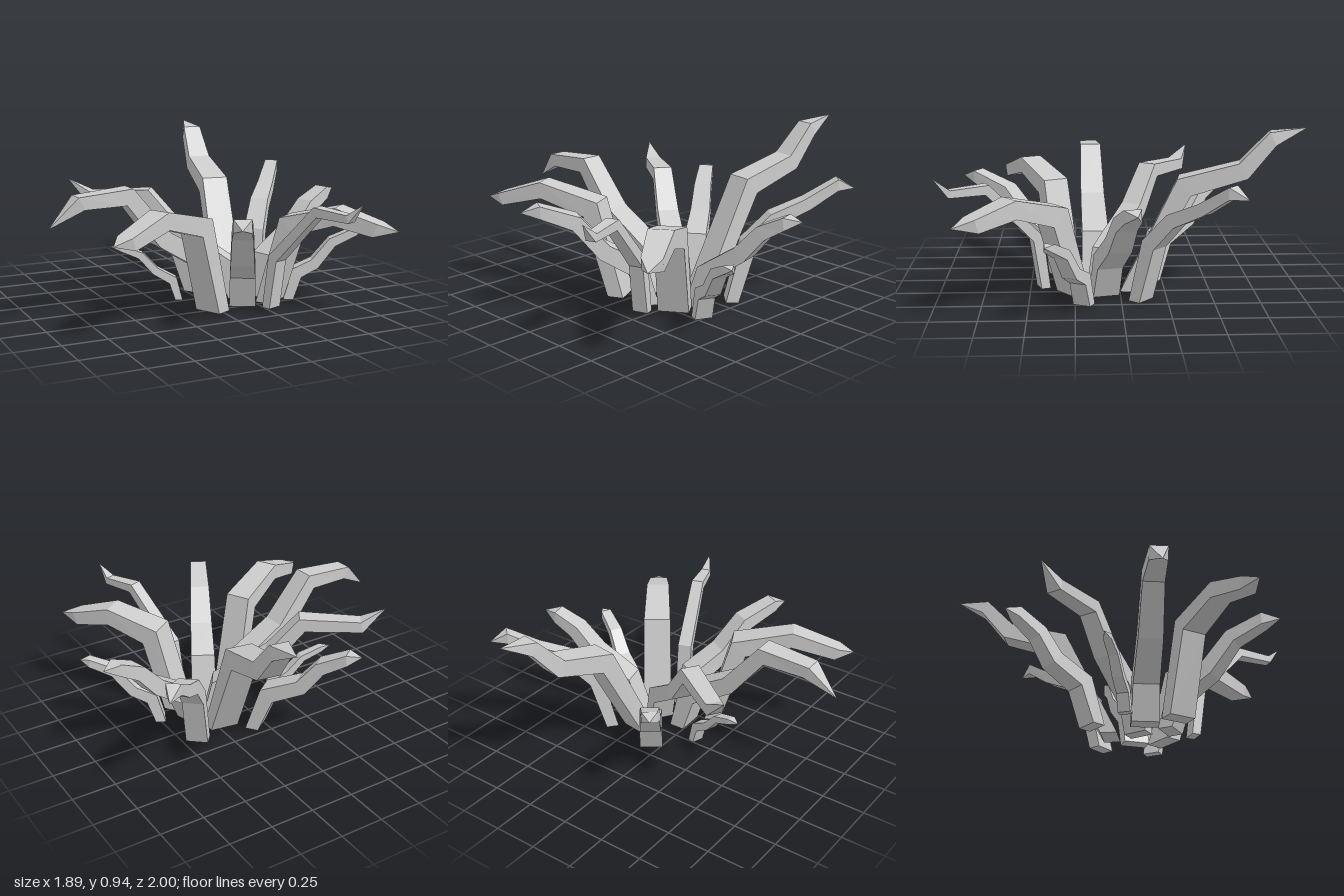
import * as THREE from 'three';

const material = new THREE.MeshStandardMaterial({ color: 0xcccccc, flatShading: true });

// One bent, tapering, four-sided blade.
// base and tip are [x, z]; rings are [fraction of the way out, height] of the upper face.
function makeBlade(name, base, tip, tipHeight, width, baseHeight, rings) {
  const dx = tip[0] - base[0], dz = tip[1] - base[1];
  const reach = Math.hypot(dx, dz);
  const f = [dx / reach, dz / reach];
  const side = [f[1], -f[0]];
  const path = [[0, baseHeight], ...rings, [1, tipHeight]].map(([t, y]) => new THREE.Vector2(t * reach, y));
  const last = path.length - 2;
  const place = (d, y, s) => [base[0] + f[0] * d + side[0] * s, y, base[1] + f[1] * d + side[1] * s];

  // Rectangular cross-sections, mitred at every bend, thinner at the foot
  const sections = [];
  for (let i = 0; i <= last; i++) {
    const p = path[i];
    const after = path[i + 1].clone().sub(p).normalize();
    const before = i ? p.clone().sub(path[i - 1]).normalize() : new THREE.Vector2(0, 1);
    const along = i ? before.clone().add(after).normalize() : before;
    const w = width * (1 - 0.36 * Math.pow(i / last, 1.5));
    const thick = i ? 0.7 * w / Math.max(0.75, along.dot(after)) : 0.58 * w;
    const low = [p.x + along.y * thick, p.y - along.x * thick];
    sections.push([
      place(p.x, p.y, w / 2), place(p.x, p.y, -w / 2),
      place(low[0], low[1], -w / 2), place(low[0], low[1], w / 2),
    ]);
  }

  // Skin: base cap, four sides per segment, pointed end
  const pos = [];
  const tri = (a, b, c) => pos.push(...a, ...b, ...c);
  const first = sections[0], end = sections[last];
  tri(first[0], first[3], first[2]);
  tri(first[0], first[2], first[1]);
  const point = place(reach, tipHeight, 0);
  for (let k = 0; k < 4; k++) {
    const n = (k + 1) % 4;
    for (let i = 0; i < last; i++) {
      const a = sections[i], b = sections[i + 1];
      tri(a[k], a[n], b[n]);
      tri(a[k], b[n], b[k]);
    }
    tri(end[k], end[n], point);
  }
  const geometry = new THREE.BufferGeometry();
  geometry.setAttribute('position', new THREE.Float32BufferAttribute(pos, 3));
  geometry.computeVertexNormals();
  const mesh = new THREE.Mesh(geometry, material);
  mesh.name = name;
  return mesh;
}

export function createModel() {
  const group = new THREE.Group();
  group.name = 'spikyPlant';
  const add = (...args) => group.add(makeBlade(...args));

  // Back blades
  add('tallBackBlade', [0.215, -0.01], [0.37, -1.0], 0.935, 0.165, 0.01, [[0.31, 0.65], [0.64, 0.74], [0.8, 0.91]]);
  add('backLeftBlade', [0.385, -0.08], [0.85, -0.62], 0.64, 0.125, 0, [[0.12, 0.35], [0.34, 0.51], [0.6, 0.59], [0.86, 0.7]]);
  add('backRightBlade', [0.08, -0.135], [-0.31, -0.655], 0.565, 0.133, 0.01, [[0.135, 0.28], [0.455, 0.37], [0.62, 0.5], [0.875, 0.58]]);
  add('backRightLongBlade', [0.23, 0.125], [-0.63, -0.45], 0.69, 0.14, 0.02, [[0.05, 0.23], [0.35, 0.43], [0.53, 0.64], [0.865, 0.62]]);

  // Left side blades
  add('leftBlade', [0.295, 0.1], [0.94, -0.06], 0.58, 0.148, 0.01, [[0.12, 0.25], [0.45, 0.395], [0.64, 0.53], [0.86, 0.6]]);
  add('smallLeftBlade', [0.455, 0.19], [0.875, 0.4], 0.415, 0.1, 0, [[0.1, 0.18], [0.34, 0.235], [0.56, 0.36], [0.88, 0.425]]);

  // Front blades
  add('frontLeftBlade', [0.3, 0.22], [0.77, 0.87], 0.49, 0.172, 0.02, [[0.17, 0.52], [0.565, 0.6], [0.865, 0.53]]);
  add('smallFrontBlade', [0.235, 0.4], [0.45, 0.995], 0.685, 0.09, 0.03, [[0.06, 0.33], [0.53, 0.635], [0.86, 0.62]]);
  add('frontBlade', [0.16, 0.245], [-0.19, 0.895], 0.585, 0.148, 0.02, [[0.09, 0.265], [0.365, 0.38], [0.573, 0.55], [0.865, 0.625]]);
  add('frontRightBlade', [-0.02, 0.29], [-0.785, 0.68], 0.52, 0.16, 0.02, [[0.175, 0.56], [0.585, 0.645], [0.9, 0.555]]);

  // Right side blades
  add('rightBlade', [0.08, 0.13], [-0.95, 0.17], 0.525, 0.16, 0.02, [[0.06, 0.29], [0.34, 0.455], [0.55, 0.715], [0.85, 0.69]]);
  add('smallRightBlade', [-0.115, 0.02], [-0.505, -0.11], 0.338, 0.072, 0.02, [[0.08, 0.15], [0.34, 0.21], [0.55, 0.3], [0.85, 0.345]]);

  return group;
}
